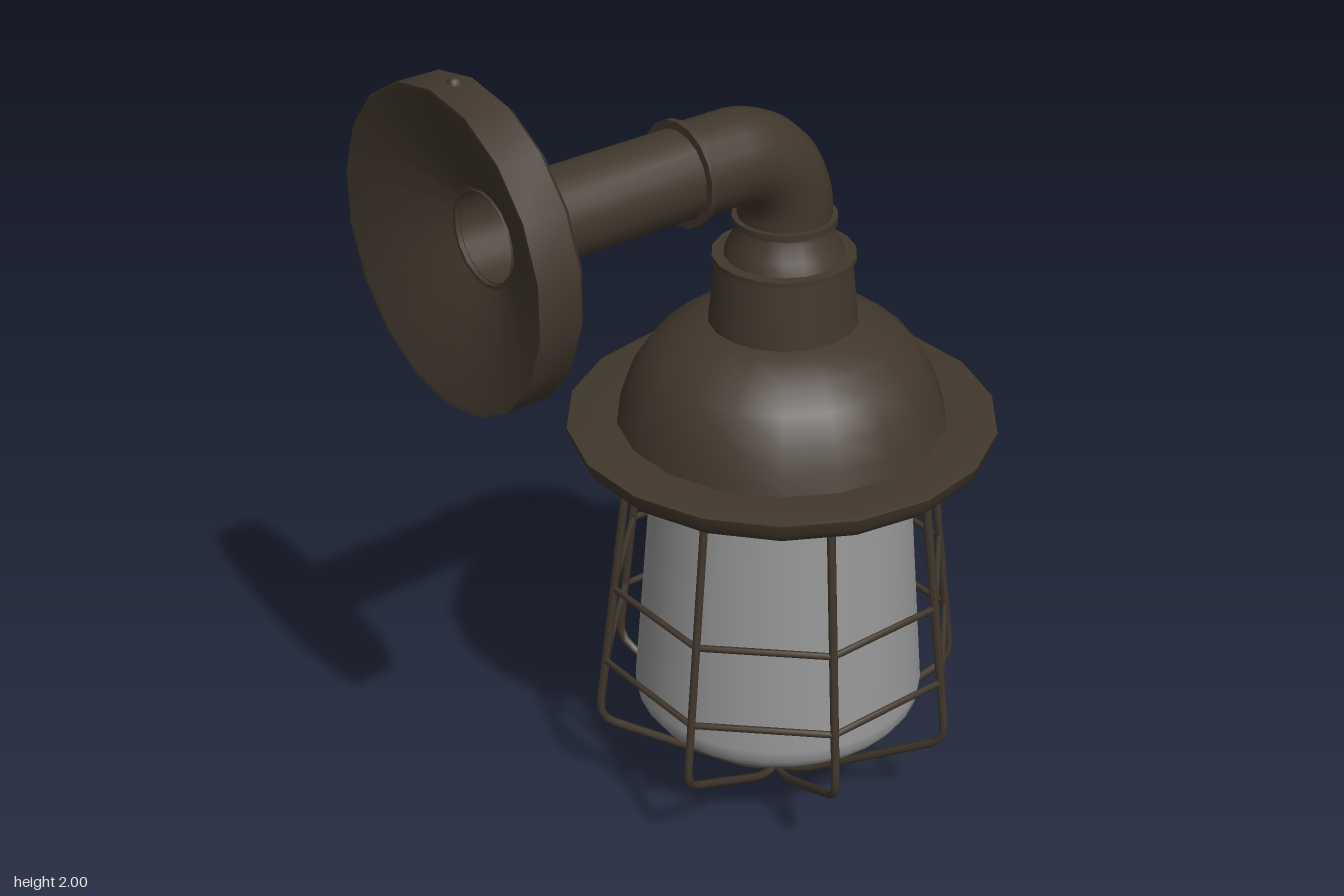
import * as THREE from 'three';
import { toCreasedNormals } from 'three/addons/utils/BufferGeometryUtils.js';

const SIDES = 18;
const LAMP_Z = -0.195; // vertical axis of the lamp
const ARM_Y = 1.655; // horizontal axis of the arm

export function createModel() {
  const bronze = new THREE.MeshStandardMaterial({ color: 0x41372c, side: THREE.DoubleSide });
  bronze.name = 'dark bronze';
  const glass = new THREE.MeshStandardMaterial({ color: 0x969696, side: THREE.DoubleSide });
  glass.name = 'frosted glass';

  const model = new THREE.Group();
  model.name = 'wallLantern';
  const lamp = new THREE.Group();
  lamp.name = 'lamp';
  lamp.position.z = LAMP_Z;
  const arm = new THREE.Group();
  arm.name = 'wallArm';
  arm.position.y = ARM_Y;
  model.add(lamp, arm);

  const add = (parent, name, geometry, material = bronze) => {
    const mesh = new THREE.Mesh(geometry, material);
    mesh.name = name;
    parent.add(mesh);
    return mesh;
  };
  const lathe = (profile, sides = SIDES) =>
    new THREE.LatheGeometry(profile.map(([r, h]) => new THREE.Vector2(r, h)), sides);
  const upright = (profile) => toCreasedNormals(lathe(profile).rotateY(Math.PI / 18), 0.75);
  const alongZ = (profile) => toCreasedNormals(lathe(profile).rotateX(Math.PI / 2), 0.75);

  // Shade: brim underside, rolled lip, dome and neck
  add(lamp, 'shade', upright([
    [0.27, 0.945], [0.44, 0.94], [0.46, 0.947], [0.475, 0.968], [0.482, 0.995], [0.472, 0.998],
    [0.37, 0.998], [0.357, 1.04], [0.335, 1.1], [0.3, 1.155], [0.25, 1.2],
    [0.195, 1.228], [0.166, 1.236], [0.15, 1.385],
  ]));
  // Neck flange and the flared socket under the elbow
  add(lamp, 'neckFlange', upright([
    [0.14, 1.383], [0.158, 1.383], [0.158, 1.394], [0.132, 1.394],
  ]));
  add(lamp, 'flaredSocket', upright([
    [0.132, 1.394], [0.122, 1.42], [0.103, 1.452], [0.1, 1.468],
    [0.115, 1.468], [0.115, 1.484], [0.098, 1.484],
  ]));

  // Glass cover with a rounded shoulder and blunt conical tip
  add(lamp, 'glassCover', lathe([
    [0, 0.085], [0.03, 0.089], [0.07, 0.105], [0.29, 0.228], [0.318, 0.247],
    [0.334, 0.27], [0.337, 0.3], [0.312, 0.62], [0.287, 0.945],
  ], 32), glass);

  // Guard cage: eight bent wires meeting below the glass
  const v = (r, y) => new THREE.Vector3(r, y, 0);
  const wirePath = new THREE.CurvePath();
  wirePath.add(new THREE.LineCurve3(v(0.35, 0.95), v(0.432, 0.285)));
  wirePath.add(new THREE.QuadraticBezierCurve3(v(0.432, 0.285), v(0.437, 0.245), v(0.405, 0.223)));
  wirePath.add(new THREE.LineCurve3(v(0.405, 0.223), v(0.11, 0.045)));
  wirePath.add(new THREE.QuadraticBezierCurve3(v(0.11, 0.045), v(0.05, 0.01), v(0, 0.011)));
  const wire = new THREE.TubeGeometry(wirePath, 40, 0.01, 6);
  for (let i = 0; i < 8; i++) {
    add(lamp, 'cageWire', wire).rotation.y = Math.PI / 8 + (i * Math.PI) / 4;
  }
  // Two straight-sided cage hoops
  for (const [y, r] of [[0.4, 0.418], [0.595, 0.394]]) {
    const hoop = new THREE.TorusGeometry(r, 0.008, 6, 8);
    hoop.rotateX(Math.PI / 2).rotateY(Math.PI / 8);
    add(lamp, 'cageHoop', hoop).position.y = y;
  }

  // Wall plate, hollowed like a shallow funnel
  add(arm, 'wallPlate', alongZ([
    [0.095, 0.562], [0.318, 0.562], [0.335, 0.578], [0.335, 0.672], [0.325, 0.672], [0.105, 0.572],
  ]));
  // Straight pipe with its base collar
  add(arm, 'pipe', alongZ([[0.097, 0.08], [0.097, 0.572]]));
  add(arm, 'pipeBaseCollar', alongZ([
    [0.097, 0.53], [0.107, 0.537], [0.108, 0.566], [0.097, 0.566],
  ]));
  add(arm, 'elbowCollar', alongZ([
    [0.097, 0.08], [0.115, 0.08], [0.115, 0.094], [0.097, 0.094],
  ]));

  // Elbow turning down into the lamp
  const bend = 0.16;
  const a = new THREE.Vector3(0, 0, 0.088);
  const b = new THREE.Vector3(0, 0, LAMP_Z + bend);
  const c = new THREE.Vector3(0, -bend, LAMP_Z);
  const d = new THREE.Vector3(0, -0.185, LAMP_Z);
  const k = bend * 0.552;
  const elbowPath = new THREE.CurvePath();
  elbowPath.add(new THREE.LineCurve3(a, b));
  elbowPath.add(new THREE.CubicBezierCurve3(
    b, new THREE.Vector3(0, 0, b.z - k), new THREE.Vector3(0, c.y + k, c.z), c));
  elbowPath.add(new THREE.LineCurve3(c, d));
  add(arm, 'elbow', new THREE.TubeGeometry(elbowPath, 24, 0.103, SIDES));

  // Fixing screws on the rim of the plate
  for (const side of [1, -1]) {
    add(arm, 'plateScrew', new THREE.SphereGeometry(0.016, 10, 8))
      .position.set(0, side * 0.33, 0.617);
  }
  return model;
}
